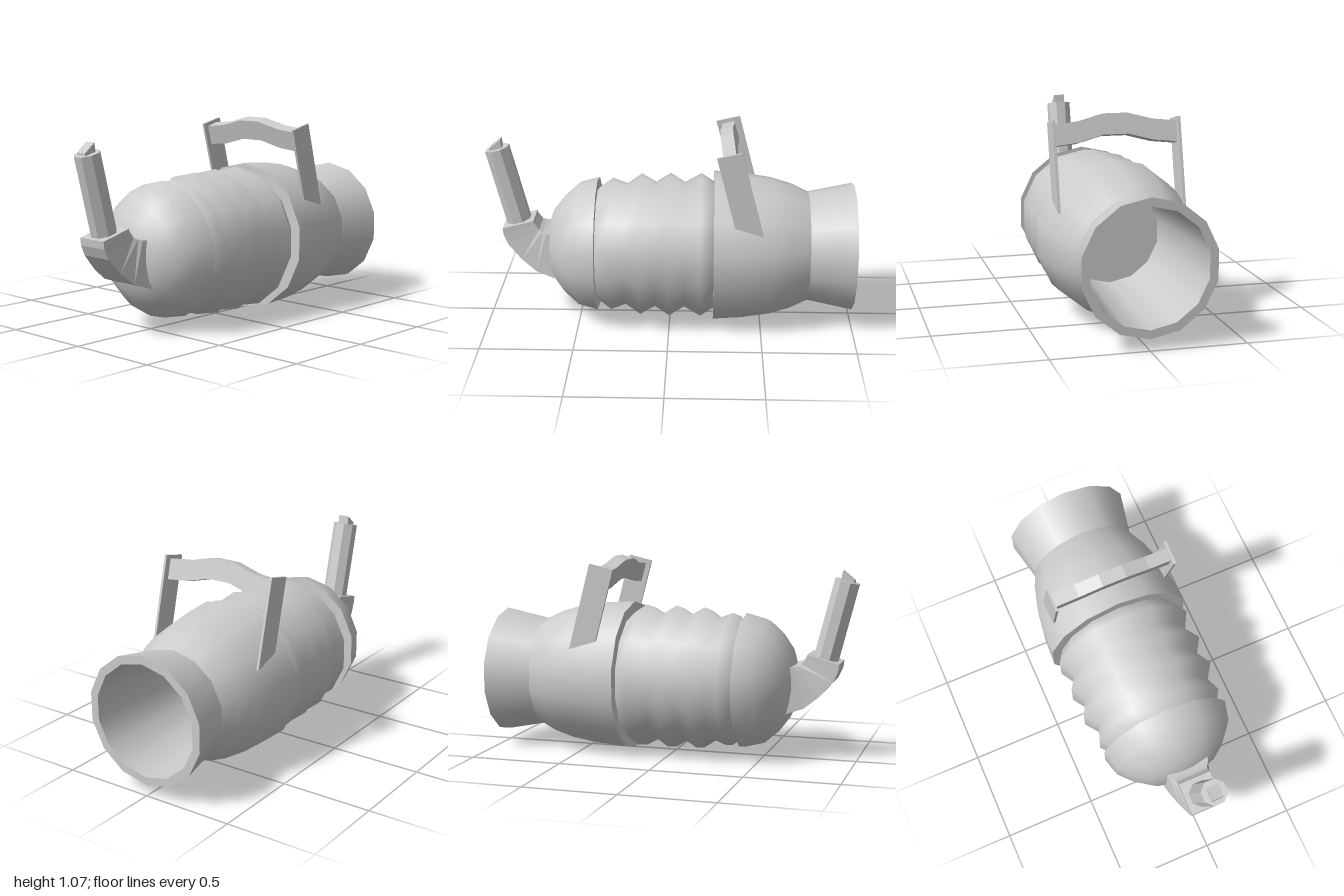
import * as THREE from 'three';

const mat = new THREE.MeshStandardMaterial({ color: 0xcccccc, side: THREE.DoubleSide });
const flat = new THREE.MeshStandardMaterial({ color: 0xcccccc, side: THREE.DoubleSide, flatShading: true });
const AXIS_Y = 0.41; // height of the body's long axis

function add(group, name, geometry, material = flat) {
  const mesh = new THREE.Mesh(geometry, material);
  mesh.name = name;
  group.add(mesh);
  return mesh;
}

// Fourteen-sided surface of revolution along x; profile is [x, radius] pairs
function turned(profile) {
  const pts = profile.map(([x, r]) => new THREE.Vector2(r, x));
  const g = new THREE.LatheGeometry(pts, 14, Math.PI / 2);
  g.rotateZ(-Math.PI / 2);
  g.translate(0, AXIS_Y, 0);
  return g;
}

function extruded(points, depth) {
  const shape = new THREE.Shape(points.map(([x, y]) => new THREE.Vector2(x, y)));
  const g = new THREE.ExtrudeGeometry(shape, { depth, bevelEnabled: false });
  g.translate(0, 0, -depth / 2);
  return g;
}

// Skin over four-cornered sections: [outer x, outer y, inner x, inner y, half width]
function loft(sections) {
  const pos = [], idx = [];
  for (const [ox, oy, ix, iy, w] of sections) pos.push(ox, oy, w, ix, iy, w, ix, iy, -w, ox, oy, -w);
  for (let s = 0; s < sections.length - 1; s++) {
    for (let k = 0; k < 4; k++) {
      const a = s * 4 + k, b = s * 4 + (k + 1) % 4;
      idx.push(a, a + 4, b, b, a + 4, b + 4);
    }
  }
  const e = (sections.length - 1) * 4;
  idx.push(0, 1, 2, 0, 2, 3, e, e + 2, e + 1, e, e + 3, e + 2);
  const g = new THREE.BufferGeometry();
  g.setAttribute('position', new THREE.Float32BufferAttribute(pos, 3));
  g.setIndex(idx);
  g.computeVertexNormals();
  return g;
}

export function createModel() {
  const model = new THREE.Group();
  model.name = 'canister';

  // Body of revolution, split where the edges are sharp
  const body = new THREE.Group();
  body.name = 'body';
  model.add(body);
  add(body, 'rearDome', turned([[-0.675, 0], [-0.67, 0.09], [-0.64, 0.19], [-0.58, 0.27], [-0.5, 0.34], [-0.395, 0.368]]), mat);
  add(body, 'domeStep', turned([[-0.395, 0.368], [-0.395, 0.31]]), mat);
  add(body, 'bellows', turned([[-0.395, 0.31], [-0.32, 0.365], [-0.24, 0.335], [-0.16, 0.39], [-0.08, 0.345],
    [0, 0.395], [0.08, 0.345], [0.17, 0.395], [0.24, 0.35]]), mat);
  add(body, 'barrelStep', turned([[0.24, 0.34], [0.24, 0.41]]), mat);
  add(body, 'barrel', turned([[0.24, 0.41], [0.4, 0.4], [0.55, 0.377], [0.66, 0.345], [0.755, 0.3]]), mat);
  add(body, 'mouth', turned([[0.755, 0.3], [1, 0.35]]), mat);
  add(body, 'mouthRim', turned([[1, 0.35], [1, 0.305]]), mat);
  add(body, 'bore', turned([[1, 0.305], [0.24, 0.27]]), mat);
  add(body, 'boreFloor', turned([[0.24, 0.27], [0.24, 0]]), mat);

  // Carrying handle: two leaning straps and an arched grip
  const handle = new THREE.Group();
  handle.name = 'handle';
  model.add(handle);
  for (const side of [1, -1]) {
    const strap = add(handle, side > 0 ? 'leftStrap' : 'rightStrap',
      extruded([[0.25, 1.02], [0.38, 1.05], [0.5, 0.59], [0.35, 0.637]], 0.014));
    strap.position.z = side * 0.333;
  }
  const half = [[0.066, 0], [0.2, -0.036], [0.33, -0.05]];
  const mirror = (pts) => pts.map(([z, y]) => [-z, y]);
  const lower = (pts) => pts.map(([z, y]) => [z, y - 0.11]);
  const top = [...mirror(half).reverse(), ...half];
  const grip = extruded([...top, ...lower(top).reverse()], 0.07);
  const up = new THREE.Vector3(-0.26, 0.966, 0).normalize();
  const across = new THREE.Vector3(0, 0, -1);
  grip.applyMatrix4(new THREE.Matrix4().makeBasis(across, up, across.clone().cross(up)));
  grip.translate(0.303, 1.062, 0);
  add(handle, 'grip', grip);

  // Rear elbow carrying an octagonal stick
  const stick = new THREE.Group();
  stick.name = 'rearStick';
  stick.position.z = 0.014;
  model.add(stick);
  add(stick, 'elbow', loft([
    [-0.91, 0.53, -0.74, 0.575, 0.088],
    [-0.905, 0.49, -0.735, 0.56, 0.088],
    [-0.88, 0.435, -0.71, 0.525, 0.09],
    [-0.81, 0.355, -0.69, 0.515, 0.1],
    [-0.73, 0.29, -0.67, 0.51, 0.115],
    [-0.61, 0.25, -0.6, 0.5, 0.135],
  ]));
  const foot = new THREE.Vector3(-0.828, 0.55, 0), tip = new THREE.Vector3(-0.932, 0.963, 0);
  const rod = new THREE.CylinderGeometry(0.069, 0.069, foot.distanceTo(tip), 8, 1, false, Math.PI / 8);
  const shaft = add(stick, 'shaft', rod);
  shaft.position.copy(foot).lerp(tip, 0.5);
  shaft.quaternion.setFromUnitVectors(new THREE.Vector3(0, 1, 0), tip.clone().sub(foot).normalize());
  add(stick, 'thumbButton', extruded([[-0.97, 0.945], [-0.97, 0.968], [-0.91, 1.017], [-0.902, 0.96]], 0.062));

  return model;
}
